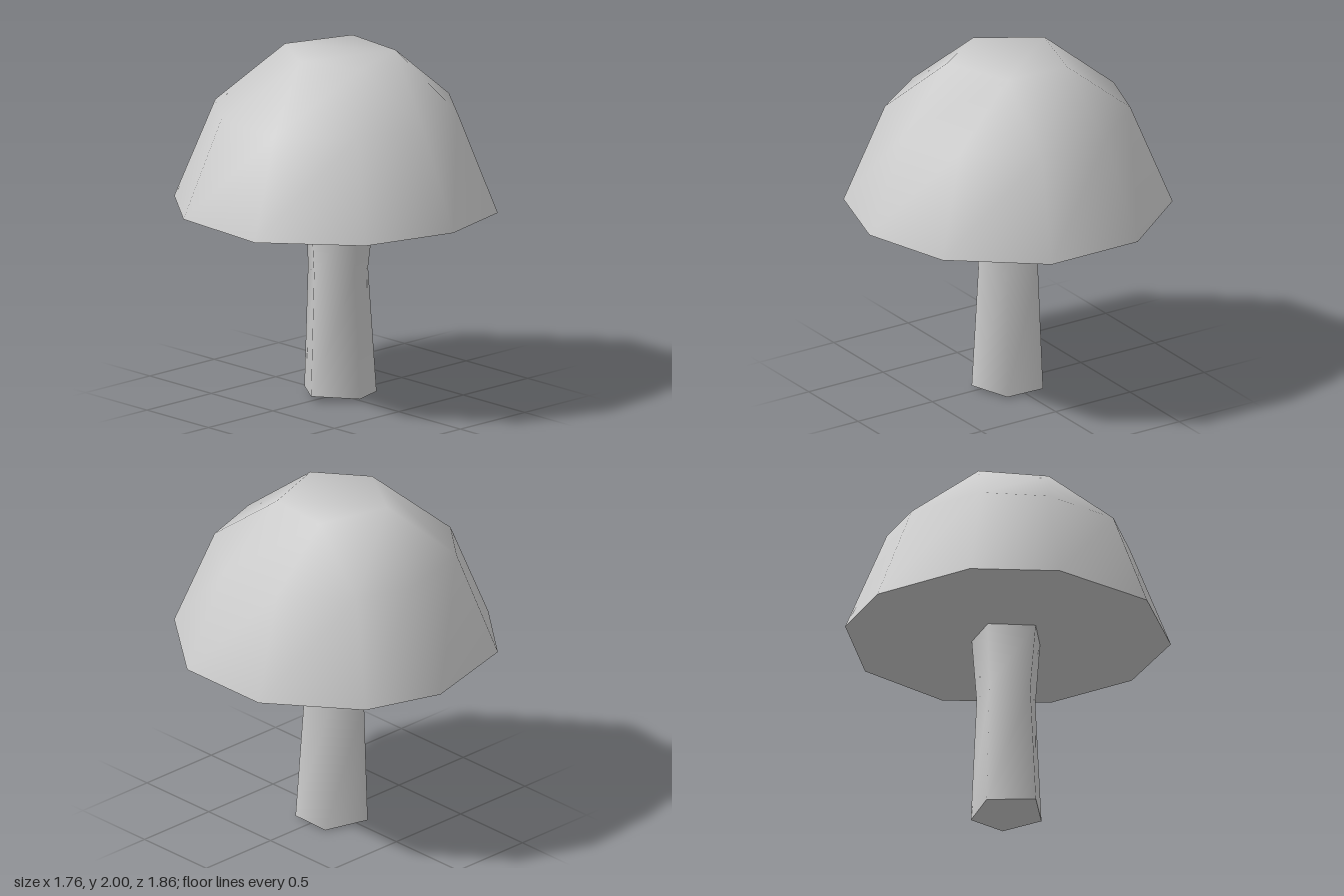
import * as THREE from 'three';
import { mergeVertices } from 'three/addons/utils/BufferGeometryUtils.js';

// Smooth skin through rings of [x, y, z] points (bottom to top), optionally closed on top
function loft(rings, closeTop = false) {
  const n = rings[0].length;
  const index = [];
  for (let r = 0; r < rings.length - 1; r++) {
    for (let i = 0; i < n; i++) {
      const j = (i + 1) % n;
      const a = r * n + i, b = r * n + j;
      index.push(a, a + n, b, b, a + n, b + n);
    }
  }
  if (closeTop) {
    const t = (rings.length - 1) * n;
    for (let i = 1; i < n - 1; i++) index.push(t, t + i + 1, t + i);
  }
  const raw = new THREE.BufferGeometry();
  raw.setAttribute('position', new THREE.Float32BufferAttribute(rings.flat(2), 3));
  raw.setIndex(index);
  // Weld doubled points and drop the collapsed triangles
  const geo = mergeVertices(raw);
  const src = Array.from(geo.index.array), kept = [];
  for (let k = 0; k < src.length; k += 3) {
    const [a, b, c] = src.slice(k, k + 3);
    if (a !== b && b !== c && c !== a) kept.push(a, b, c);
  }
  geo.setIndex(kept);
  geo.computeVertexNormals();
  return geo;
}

// Downward-facing lid over one ring
function lid(ring) {
  const geo = new THREE.BufferGeometry();
  geo.setAttribute('position', new THREE.Float32BufferAttribute(ring.flat(), 3));
  const index = [];
  for (let i = 1; i < ring.length - 1; i++) index.push(0, i, i + 1);
  geo.setIndex(index);
  geo.computeVertexNormals();
  return geo;
}

export function createModel() {
  const group = new THREE.Group();
  const grey = new THREE.MeshStandardMaterial({ color: 0xcccccc });
  grey.name = 'grey';
  const add = (name, geometry) => {
    const mesh = new THREE.Mesh(geometry, grey);
    mesh.name = name;
    group.add(mesh);
  };

  // Cap: ten-sided rim and shoulder, closing to a five-sided crown
  const rim = [
    [0.88, 1.105, 0.28], [0.51, 1.115, 0.77], [0.01, 1.127, 0.93], [-0.51, 1.118, 0.76], [-0.88, 1.105, 0.25],
    [-0.84, 1.108, -0.37], [-0.53, 1.105, -0.77], [0.07, 1.105, -0.93], [0.51, 1.105, -0.78], [0.88, 1.105, -0.3],
  ];
  const shoulder = rim.map(([x, , z]) => [x * 0.76, 1.66 + 0.03 * Math.abs(z), z * 0.74]);
  const crown = [
    [0.28, 1.99, 0.18], [-0.12, 1.985, 0.32], [-0.31, 2, 0.02], [-0.1, 2, -0.32], [0.31, 1.995, -0.2],
  ];
  // Each crown corner serves two shoulder corners
  const crownDoubled = rim.map((_, i) => crown[Math.floor(i / 2)]);
  add('cap', loft([rim, shoulder, crownDoubled], true));
  add('capUnderside', lid(rim));

  // Stem: five-sided, narrowing at the waist
  const foot = [
    [0.19, 0.005, 0.12], [-0.03, 0.02, 0.215], [-0.213, 0.03, 0.01], [-0.05, 0.015, -0.215], [0.19, 0, -0.12],
  ];
  const waist = foot.map(([x, , z]) => [x * 0.82 - 0.004, 0.73, z * 0.84 - 0.01]);
  const neck = foot.map(([x, , z]) => [x, 1.12, z * 0.96]);
  add('stem', loft([foot, waist, neck]));
  add('stemBase', lid(foot));

  return group;
}
